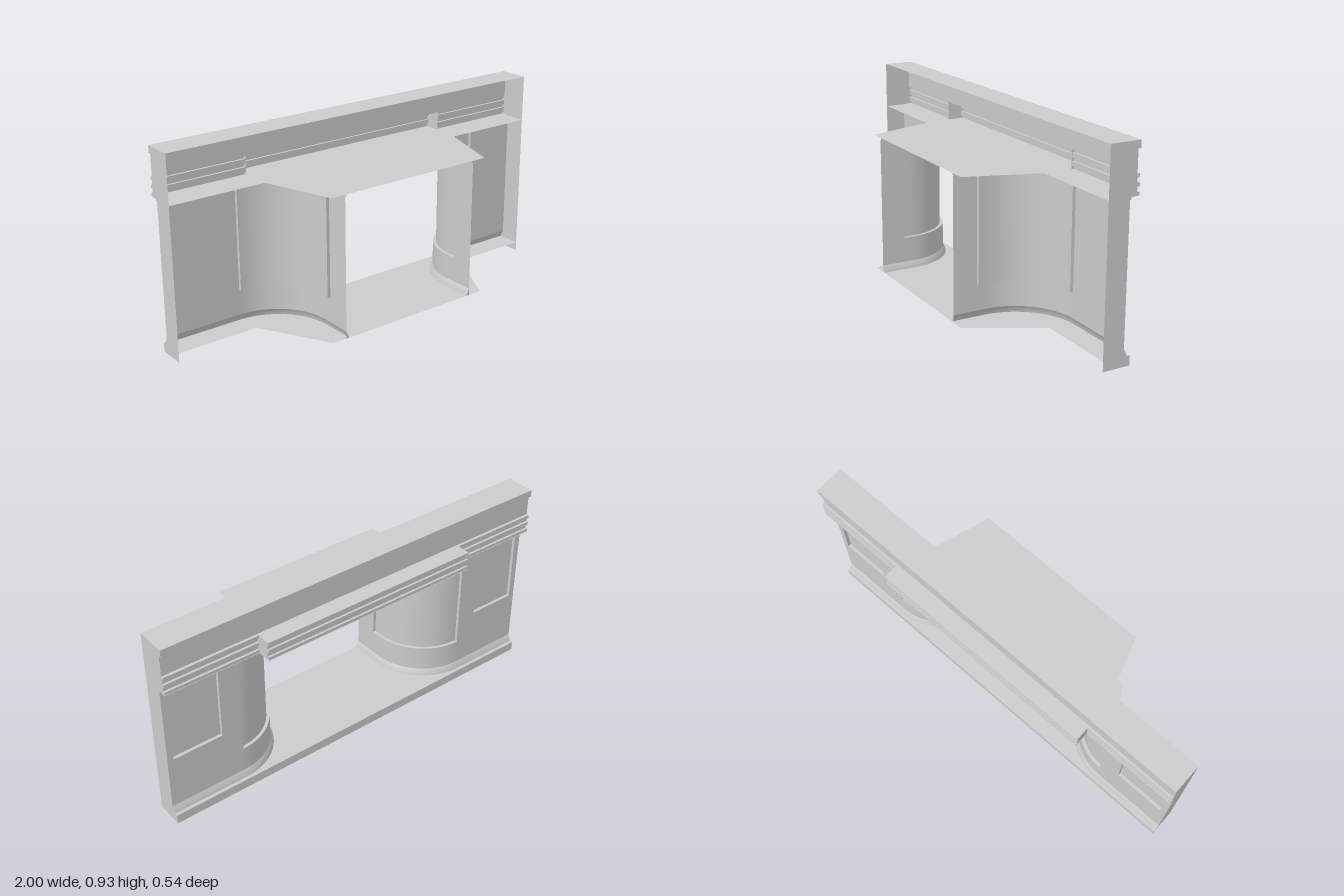
import * as THREE from 'three';
import { toCreasedNormals } from 'three/addons/utils/BufferGeometryUtils.js';

const material = new THREE.MeshStandardMaterial({ color: 0xcccccc, side: THREE.DoubleSide });

// Heights and depths shared by several parts
const FLOOR = 0.045, CEILING = 0.71, TOP = 0.933;
const BACK = -0.06, WALL = -0.16, FACE = -0.19, CORNICE = -0.203;
const R = 0.27, CORNER_X = 0.63, OPEN_X = CORNER_X - R, WALL_END = 0.27;
const STEP_X = 0.55;

// Lengths along the wall: straight front, rounded corner, straight jamb
const L1 = 1 - CORNER_X, L2 = L1 + R * Math.PI / 2, L3 = L2 + WALL_END - (WALL + R);
const RECESS = 0.015;

function add(group, name, geometry) {
  const mesh = new THREE.Mesh(geometry, material);
  mesh.name = name;
  group.add(mesh);
  return mesh;
}

// Grid surface of cols x rows points given by point(column, row)
function sheet(cols, rows, point, flip = false) {
  const pos = [], index = [];
  for (let i = 0; i < cols; i++) for (let j = 0; j < rows; j++) pos.push(...point(i, j));
  for (let i = 0; i < cols - 1; i++) for (let j = 0; j < rows - 1; j++) {
    const a = i * rows + j, b = a + rows;
    if (flip) index.push(a, b + 1, b, a, a + 1, b + 1);
    else index.push(a, b, b + 1, a, b + 1, a + 1);
  }
  const g = new THREE.BufferGeometry();
  g.setAttribute('position', new THREE.Float32BufferAttribute(pos, 3));
  g.setIndex(index);
  return toCreasedNormals(g, 0.5);
}

// Point on the shopfront wall at length s, pushed outwards by d
function wallPoint(s, d, y, side) {
  let x, z;
  if (s <= L1) { x = 1 - s; z = WALL - d; }
  else if (s <= L2) {
    const a = (s - L1) / R;
    x = CORNER_X - (R + d) * Math.sin(a);
    z = WALL + R - (R + d) * Math.cos(a);
  } else { x = OPEN_X - d; z = WALL + R + s - L2; }
  return [x * side, y, z];
}

// Sweep a profile of [offset, height] along the wall from s0 to s1
function wallSweep(s0, s1, profile, side) {
  const stops = [s0];
  for (let k = 0; k <= 24; k++) {
    const s = L1 + (L2 - L1) * k / 24;
    if (s > s0 + 1e-4 && s < s1 - 1e-4) stops.push(s);
  }
  stops.push(s1);
  return sheet(stops.length, profile.length,
    (i, j) => wallPoint(stops[i], profile[j][0], profile[j][1], side), side < 0);
}

// Sweep a profile of [z, y] straight along x
function straightSweep(x0, x1, profile) {
  return sheet(2, profile.length, (i, j) => [i ? x1 : x0, profile[j][1], profile[j][0]]);
}

// Flat horizontal plate mirrored about x = 0, from its [x, z] outline
function plate(half, y) {
  const all = [...half, ...half.map(([x, z]) => [-x, z]).reverse()];
  const g = new THREE.ShapeGeometry(new THREE.Shape(all.map(([x, z]) => new THREE.Vector2(x, -z))));
  return g.rotateX(-Math.PI / 2).translate(0, y, 0);
}

// Upright plate at constant x, from its [z, y] outline
function upright(outline, x) {
  const g = new THREE.ShapeGeometry(new THREE.Shape(outline.map(([z, y]) => new THREE.Vector2(-z, y))));
  return g.rotateY(Math.PI / 2).translate(x, 0, 0);
}

// Three-band moulding profile, from bottom to top
function bands(out, groove) {
  return [
    [FACE, 0.712], [out, 0.712], [out, 0.727], [groove, 0.727], [groove, 0.748], [out, 0.748],
    [out, 0.764], [groove, 0.764], [groove, 0.785], [out, 0.785], [out, 0.8], [FACE, 0.8],
  ];
}

function wallSide(side) {
  const group = new THREE.Group();
  group.name = side > 0 ? 'leftWall' : 'rightWall';
  const low = 0.078, high = 0.7;
  const flat = { s0: 0.03, s1: 0.27, y0: 0.33, y1: 0.69 };
  const curved = { s0: L1, s1: L2 + 0.045, y0: 0.2, y1: 0.69 };

  // Plain wall between and beside the panels
  const strips = [[0, flat.s0], [flat.s1, curved.s0], [curved.s1, L3]];
  for (const [a, b] of strips) add(group, 'wall', wallSweep(a, b, [[0, low], [0, high]], side));

  // Recessed panels with wall below and above
  for (const [name, p] of [['flatPanel', flat], ['curvedPanel', curved]]) {
    add(group, 'wallBelowPanel', wallSweep(p.s0, p.s1, [[0, low], [0, p.y0]], side));
    add(group, 'wallAbovePanel', wallSweep(p.s0, p.s1, [[0, p.y1], [0, high]], side));
    add(group, name, wallSweep(p.s0, p.s1,
      [[0, p.y0], [-RECESS, p.y0], [-RECESS, p.y1], [0, p.y1]], side));
    for (const s of [p.s0, p.s1]) {
      add(group, 'panelJamb', sheet(2, 2, (i, j) => wallPoint(s, -RECESS * i, j ? p.y1 : p.y0, side)));
    }
  }

  // Flared skirting and the thin trim under the ceiling
  const skirt = [[0.014, FLOOR], [0.012, 0.052], [0.009, 0.061], [0.004, 0.071], [0, low]];
  add(group, 'skirting', wallSweep(0, L3, skirt, side));
  add(group, 'topTrim', wallSweep(0, L3, [[0, high], [0.006, high], [0.006, CEILING]], side));
  add(group, 'skirtingEnd', sheet(2, skirt.length,
    (i, j) => wallPoint(L3, i ? 0 : skirt[j][0], skirt[j][1], side)));
  return group;
}

export function createModel() {
  const model = new THREE.Group();
  model.name = 'shopfront';
  const sideBands = bands(CORNICE, -0.192), midBands = bands(-0.27, -0.26);

  // Fascia board with its projecting cap
  add(model, 'fascia', straightSweep(1, -1,
    [[FACE, 0.8], [FACE, 0.9], [CORNICE, 0.9], [CORNICE, TOP], [BACK, TOP]]));

  // Grooved moulding, stepping forward over the entrance
  add(model, 'middleMoulding', straightSweep(STEP_X, -STEP_X, midBands));
  for (const side of [1, -1]) {
    const ends = side > 0 ? [1, STEP_X] : [-STEP_X, -1];
    add(model, 'sideMoulding', straightSweep(ends[0], ends[1], sideBands));
    add(model, 'mouldingReturn', upright(midBands, side * STEP_X));
    add(model, 'endWall', upright([
      [BACK, 0], [FACE, 0], [FACE, FLOOR], [WALL - 0.014, FLOOR], [WALL - 0.009, 0.061], [WALL, 0.078],
      [WALL, 0.7], [WALL - 0.006, 0.7], [WALL - 0.006, CEILING],
      ...sideBands, [FACE, 0.9], [CORNICE, 0.9], [CORNICE, TOP], [BACK, TOP],
    ], side));
    model.add(wallSide(side));
  }

  // Ceiling and floor, both tapering into the recessed entrance
  add(model, 'ceiling', plate([
    [0.43, WALL_END], [0.54, BACK], [1, BACK], [1, CORNICE], [STEP_X, CORNICE], [STEP_X, -0.27],
  ], CEILING));
  add(model, 'floor', plate([[0.43, WALL_END], [0.61, BACK], [1, BACK], [1, FACE]], FLOOR));
  add(model, 'sill', straightSweep(1, -1, [[FACE, 0], [FACE, FLOOR]]));
  return model;
}
